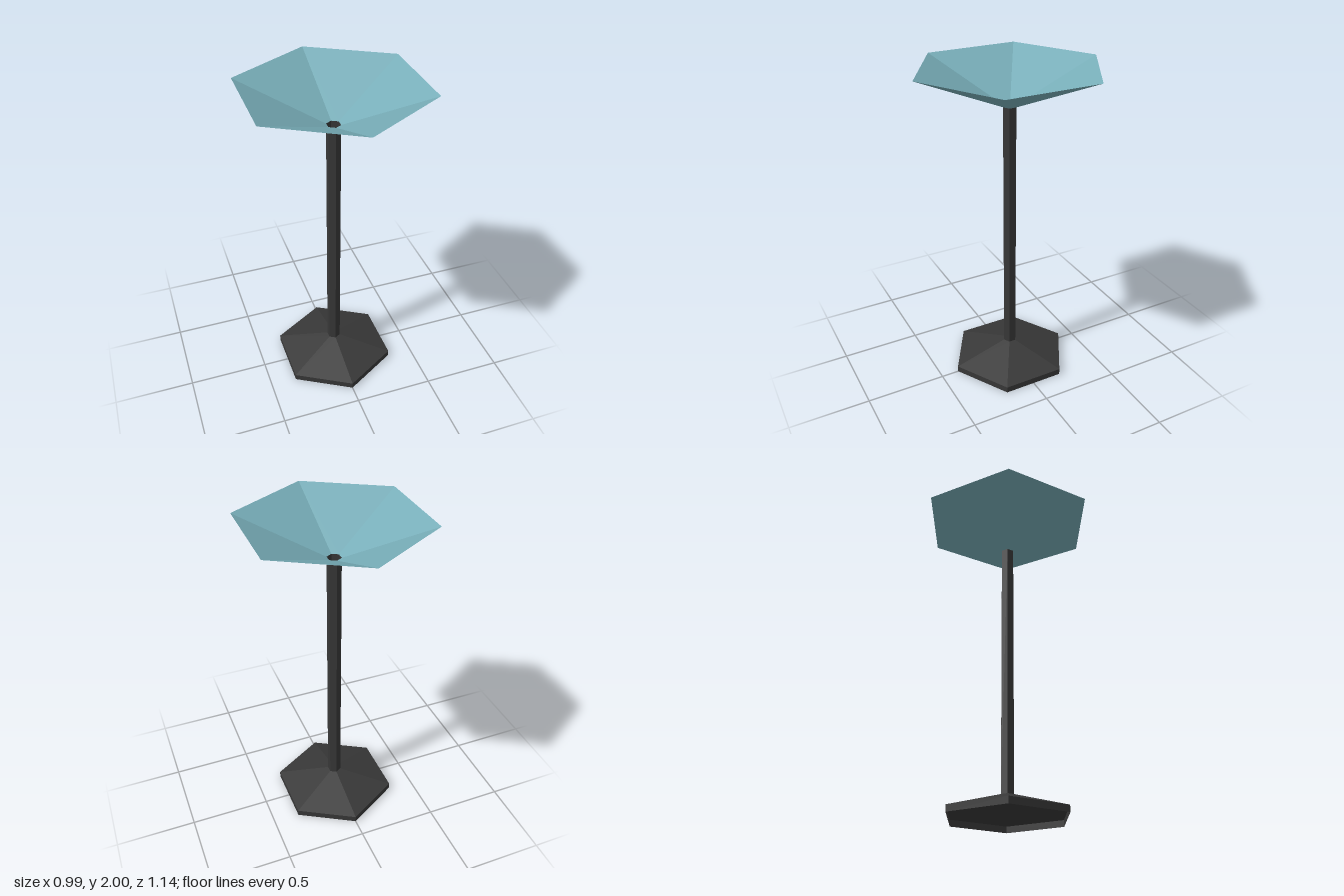
import * as THREE from 'three';

export function createModel() {
  const model = new THREE.Group();
  model.name = 'birdBath';

  const makeMaterial = (name, color) => {
    const material = new THREE.MeshStandardMaterial({ color, flatShading: true, side: THREE.DoubleSide });
    material.name = name;
    return material;
  };
  const darkMetal = makeMaterial('darkMetal', 0x383838);
  const paleTeal = makeMaterial('paleTeal', 0x78aeb9);

  // Open six-sided tube with corners on the z axis, spanning y0 to y1
  const addHexShell = (name, r0, y0, r1, y1, material) => {
    const geometry = new THREE.CylinderGeometry(r1, r0, y1 - y0, 6, 1, true);
    geometry.translate(0, (y0 + y1) / 2, 0);
    const mesh = new THREE.Mesh(geometry, material);
    mesh.name = name;
    model.add(mesh);
  };

  const poleRadius = 0.043;
  // Hollow foot: upright rim, then a slope up to the pole
  addHexShell('baseRim', 0.387, 0, 0.387, 0.04, darkMetal);
  addHexShell('baseSlope', 0.387, 0.04, poleRadius, 0.14, darkMetal);
  // Hollow pole
  addHexShell('pole', poleRadius, 0.14, poleRadius, 1.775, darkMetal);
  // Thin flared bowl, open at the bottom into the pole
  addHexShell('bowl', poleRadius, 1.775, 0.572, 2, paleTeal);

  return model;
}
